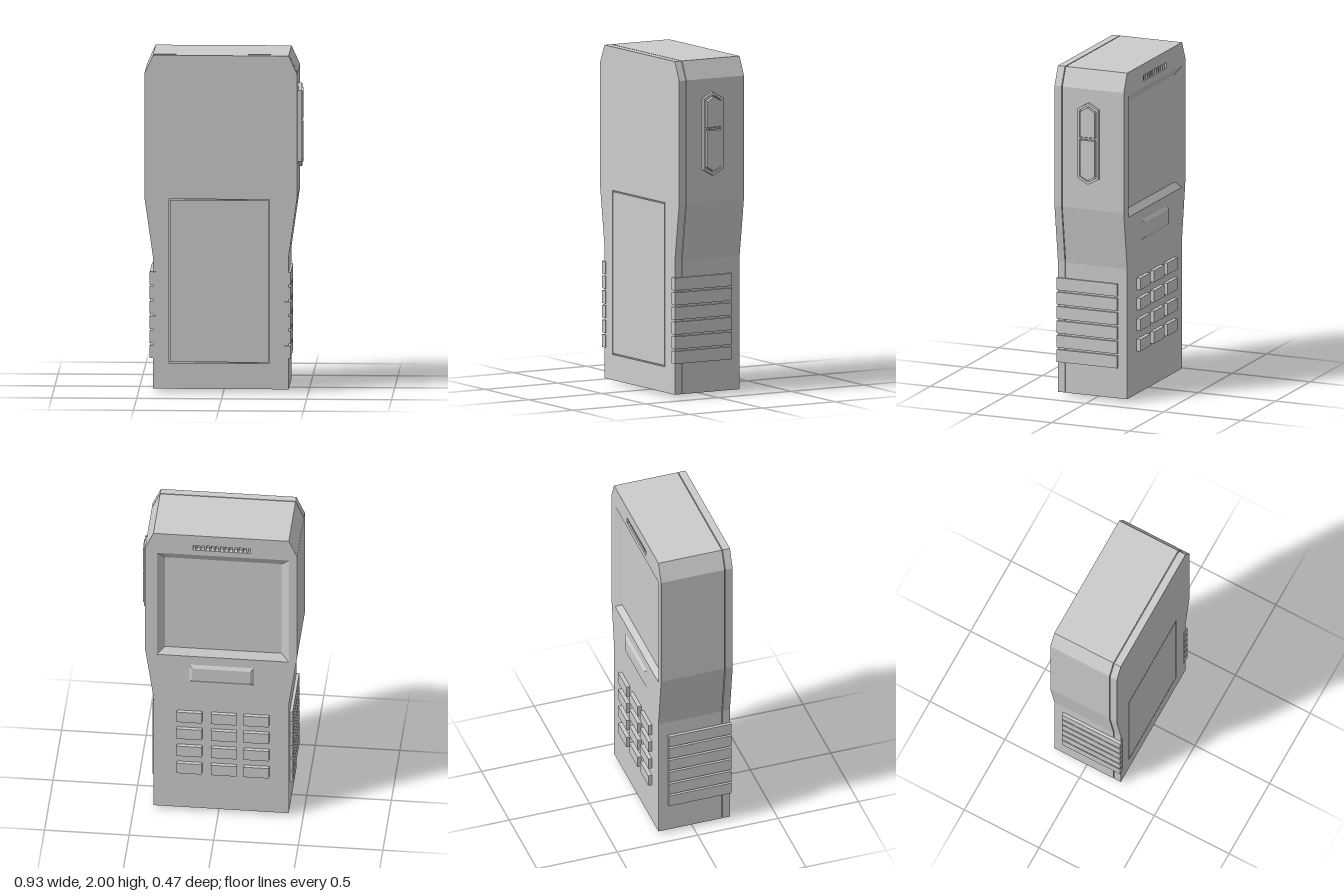
import * as THREE from 'three';

const CX = -0.015; // centre of the case, the side button makes it off-centre
const grey = new THREE.MeshStandardMaterial({ color: 0xcccccc, flatShading: true });
const greyDouble = new THREE.MeshStandardMaterial({ color: 0xcccccc, flatShading: true, side: THREE.DoubleSide });

const poly = (pts) => pts.map(([x, y]) => new THREE.Vector2(x, y));
const rect = (x0, x1, y0, y1) => poly([[x0, y0], [x1, y0], [x1, y1], [x0, y1]]);

// Right half of the case outline, mirrored to the left
function caseOutline(inset = 0) {
  const half = [[0.4, 0.02 + inset], [0.4, 0.81], [0.45, 1.16], [0.45, 1.89], [0.4, 2 - inset]];
  const right = half.map(([x, y]) => [CX + x - inset, y]);
  const left = half.map(([x, y]) => [CX - x + inset, y]).reverse();
  return poly([...right, ...left]);
}

// Flat slab between two depths, with optional holes
function slab(points, holes, z0, z1) {
  const shape = new THREE.Shape(points);
  holes.forEach((h) => shape.holes.push(new THREE.Path(h)));
  const geo = new THREE.ExtrudeGeometry(shape, { depth: z1 - z0, bevelEnabled: false });
  return geo.translate(0, 0, z0);
}

// Sloping walls from one rectangle to another: [x0, x1, y0, y1, z]
function funnel(a, b) {
  const ring = ([x0, x1, y0, y1, z]) => [x0, y0, z, x1, y0, z, x1, y1, z, x0, y1, z];
  const index = [];
  for (let i = 0; i < 4; i++) {
    const j = (i + 1) % 4;
    index.push(i, i + 4, j, j, i + 4, j + 4);
  }
  const geo = new THREE.BufferGeometry();
  geo.setAttribute('position', new THREE.Float32BufferAttribute([...ring(a), ...ring(b)], 3));
  geo.setIndex(index);
  const flat = geo.toNonIndexed();
  flat.computeVertexNormals();
  return flat;
}

export function createModel() {
  const root = new THREE.Group();
  root.name = 'handheldDevice';
  const add = (name, geo, parent = root, mat = grey) => {
    const mesh = new THREE.Mesh(geo, mat);
    mesh.name = name;
    parent.add(mesh);
    return mesh;
  };
  const group = (name) => {
    const g = new THREE.Group();
    g.name = name;
    root.add(g);
    return g;
  };
  const box = (name, x0, x1, y0, y1, z0, z1, parent) => {
    const m = add(name, new THREE.BoxGeometry(x1 - x0, y1 - y0, z1 - z0), parent);
    m.position.set((x0 + x1) / 2, (y0 + y1) / 2, (z0 + z1) / 2);
  };

  // Case: face plate with openings, solid middle, seam core, battery-side cover
  const shell = group('case');
  const screen = [-0.415, 0.365, 1.12, 1.86];
  const slot = [-0.19, 0.15, 1.895, 1.93];
  add('facePlate', slab(caseOutline(), [rect(...screen), rect(...slot)], -0.215, -0.185), shell);
  add('middleShell', slab(caseOutline(), [], -0.185, 0.18), shell);
  add('seamCore', slab(caseOutline(0.01), [], 0.18, 0.216), shell);
  add('cover', slab(caseOutline(), [rect(-0.322, 0.272, 0.172, 1.147)], 0.185, 0.23), shell);
  add('batteryDoor', slab(rect(-0.315, 0.265, 0.179, 1.14), [], 0.185, 0.23), shell);

  // Sloping bezel around the sunken screen
  add('screenBezel', funnel([...screen, -0.215], [-0.37, 0.32, 1.16, 1.81, -0.186]), root, greyDouble);

  // Earpiece slot with small ribs
  const ear = group('earpiece');
  for (let i = 0; i < 12; i++) {
    const x = slot[0] + 0.015 + i * 0.0275;
    box('earpieceRib', x, x + 0.01, slot[2], slot[3], -0.208, -0.185, ear);
  }

  // Bar key with bevelled rim
  const bar = new THREE.ExtrudeGeometry(new THREE.Shape(rect(-0.155, 0.19, 0.955, 1.04)), {
    depth: 0.005, bevelEnabled: true, bevelSize: 0.02, bevelThickness: 0.012, bevelSegments: 1,
  });
  bar.rotateY(Math.PI).translate(0, 0, -0.21);
  add('barKey', bar);

  // Keypad, three columns by four rows
  const keypad = group('keypad');
  for (const x of [-0.3, -0.107, 0.096]) {
    for (const y of [0.28, 0.405, 0.53, 0.652]) box('key', x, x + 0.15, y, y + 0.072, -0.238, -0.2, keypad);
  }

  // Grip ribs on both sides
  const grips = group('gripRibs');
  for (let i = 0; i < 6; i++) {
    const y = 0.204 + i * 0.0872;
    box('leftGripRib', 0.358, 0.397, y, y + 0.075, -0.155, 0.235, grips);
    box('rightGripRib', -0.433, -0.396, y, y + 0.075, -0.155, 0.235, grips);
  }

  // Side button: pointed frame with two keys, drawn flat then turned to the side
  const side = group('sideButton');
  side.rotation.y = Math.PI / 2;
  const pointed = (w, y0, y1, tip) => poly([
    [-w, y0 + tip], [0, y0], [w, y0 + tip], [w, y1 - tip], [0, y1], [-w, y1 - tip],
  ]).map((p) => p.setX(p.x - 0.007));
  add('sideButtonFrame', slab(pointed(0.067, 1.315, 1.81, 0.037), [pointed(0.053, 1.332, 1.793, 0.031)], 0.42, 0.456), side);
  const c = -0.007, w = 0.047;
  const upper = poly([[c - w, 1.603], [c + w, 1.603], [c + w, 1.757], [c, 1.784], [c - w, 1.757]]);
  const lower = poly([[c, 1.341], [c + w, 1.368], [c + w, 1.585], [c - w, 1.585], [c - w, 1.368]]);
  add('upperSideKey', slab(upper, [], 0.42, 0.463), side);
  add('lowerSideKey', slab(lower, [], 0.42, 0.463), side);
  add('sideKeyDivider', slab(rect(c - 0.055, c + 0.055, 1.589, 1.599), [], 0.42, 0.456), side);

  // Round socket under the case
  const ring = new THREE.LatheGeometry(poly([[0.03, 0.021], [0.03, 0], [0.047, 0], [0.047, 0.025]]), 24);
  add('socket', ring, root, greyDouble).position.set(0.22, 0, -0.095);

  return root;
}
